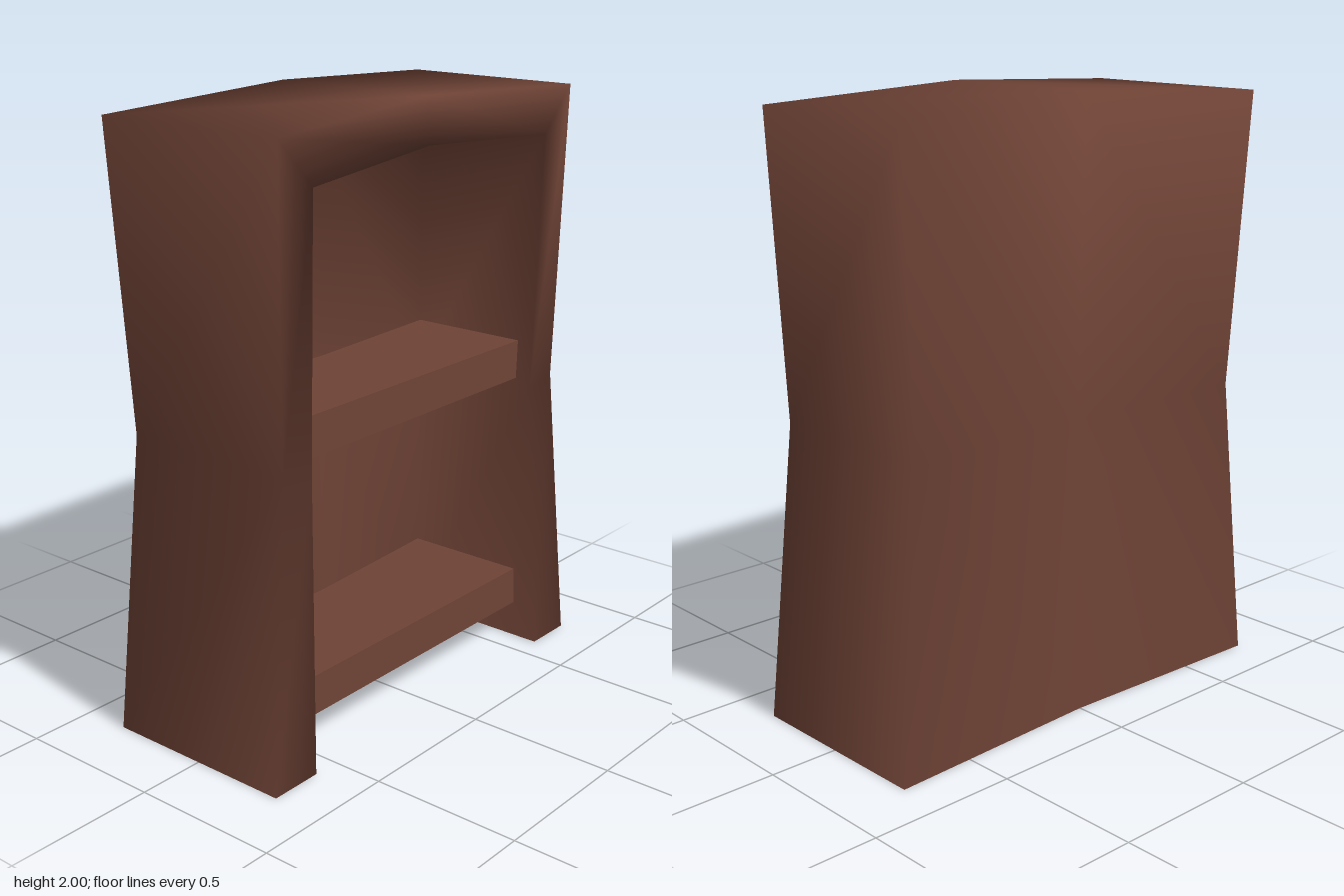
import * as THREE from 'three';

const wood = new THREE.MeshStandardMaterial({ color: 0x6f4336, side: THREE.DoubleSide });
wood.name = 'reddish brown wood';

// Arch outlines, from the foot at -x over the top to the foot at +x
const outer = [[-0.772, 0], [-0.685, 0.98], [-0.74, 1.965], [0, 2], [0.74, 1.965], [0.685, 0.98], [0.768, 0]];
const inner = [[-0.59, 0], [-0.56, 0.95], [-0.6, 1.815], [0, 1.85], [0.6, 1.815], [0.56, 0.95], [0.595, 0]];
const frontZ = [0.327, 0.293, 0.342, 0.282, 0.295, 0.293, 0.327];
const backZ = [-0.342, -0.315, -0.345, -0.312, -0.345, -0.315, -0.342];
const panel = 0.135; // thickness of the back

// Rings: back edge, front edge, opening edge, inside back edge
const rings = [
  outer.map(([x, y], i) => [x, y, backZ[i]]),
  outer.map(([x, y], i) => [x, y, frontZ[i]]),
  inner.map(([x, y], i) => [x, y, frontZ[i]]),
  inner.map(([x, y], i) => [x, y, backZ[i] + panel]),
];
// Middle and bottom middle of the back, outside then inside
const centres = [[0, 0.98, -0.285], [0, 0, -0.312], [0, 0.95, -0.285 + panel], [0, 0, -0.312 + panel]];
const points = [...rings.flat(), ...centres];
const at = (ring, i) => ring * 7 + i;

function quadMesh(name, quads) {
  const geometry = new THREE.BufferGeometry();
  geometry.setAttribute('position', new THREE.Float32BufferAttribute(points.flat(), 3));
  geometry.setIndex(quads.flatMap(([a, b, c, d]) => [a, b, c, a, c, d]));
  geometry.computeVertexNormals();
  const mesh = new THREE.Mesh(geometry, wood);
  mesh.name = name;
  return mesh;
}

function makeShell() {
  const quads = [];
  // Outer walls, front frame and inner walls
  for (let r = 0; r < 3; r++)
    for (let i = 0; i < 6; i++)
      quads.push([at(r, i), at(r + 1, i), at(r + 1, i + 1), at(r, i + 1)]);
  // Bowed back panel, outside and inside
  for (const [ring, mid, low] of [[0, 28, 29], [3, 30, 31]]) {
    const p = (i) => at(ring, i);
    const faces = [
      [p(0), p(1), mid, low], [p(1), p(2), p(3), mid],
      [mid, p(3), p(4), p(5)], [low, mid, p(5), p(6)],
    ];
    quads.push(...faces.map((f) => (ring ? f.reverse() : f)));
  }
  return quadMesh('cabinetShell', quads);
}

// Flat underside of the two feet and the back panel
function makeBase() {
  return quadMesh('cabinetBase', [
    [at(0, 0), at(3, 0), at(2, 0), at(1, 0)],
    [at(0, 6), at(1, 6), at(2, 6), at(3, 6)],
    [at(0, 0), 29, 31, at(3, 0)],
    [29, at(0, 6), at(3, 6), 31],
  ]);
}

// Shelf made of a top board and a front lip, open underneath
function makeShelf(name, width, top) {
  const front = 0.235, back = -0.215, height = 0.132;
  const shelf = new THREE.Group();
  shelf.name = name;
  const board = new THREE.Mesh(new THREE.PlaneGeometry(width, front - back), wood);
  board.name = 'shelfBoard';
  board.rotation.x = -Math.PI / 2;
  board.position.set(0, top, (front + back) / 2);
  const lip = new THREE.Mesh(new THREE.PlaneGeometry(width, height), wood);
  lip.name = 'shelfLip';
  lip.position.set(0, top - height / 2, front);
  shelf.add(board, lip);
  return shelf;
}

export function createModel() {
  const model = new THREE.Group();
  model.name = 'bookcase';
  model.add(
    makeShell(),
    makeBase(),
    makeShelf('upperShelf', 1.14, 1.112),
    makeShelf('lowerShelf', 1.19, 0.262),
  );
  return model;
}
